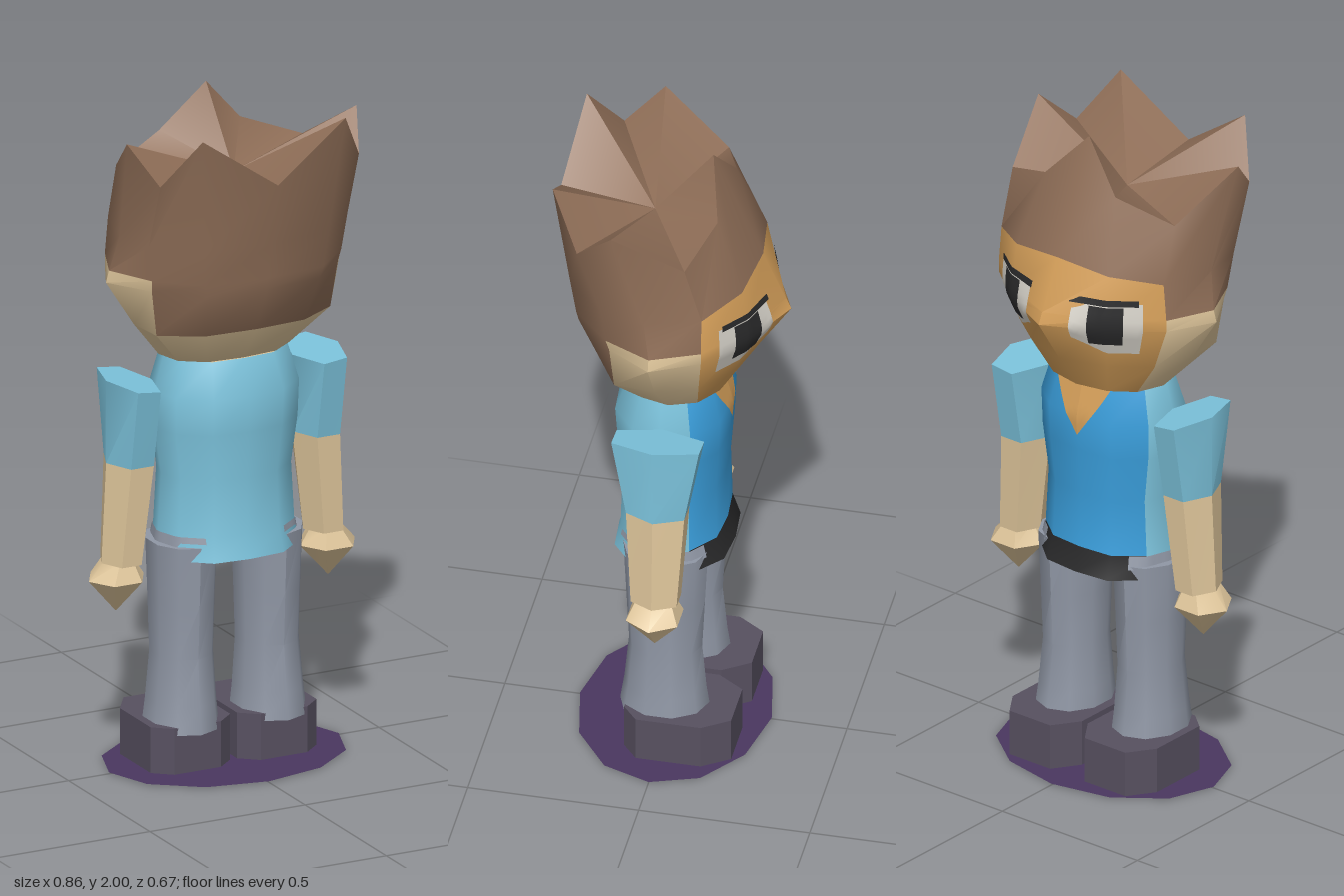
import * as THREE from 'three';
import { toCreasedNormals } from 'three/addons/utils/BufferGeometryUtils.js';

const V = (x, y, z) => new THREE.Vector3(x, y, z);

function makeMaterials() {
  const colors = {
    hair: 0x906f58, skin: 0xdfc69b, face: 0xd6a05a, shirtLight: 0x7cc3dc, shirtBlue: 0x3a9edb,
    trousers: 0x9097a5, shoe: 0x575060, base: 0x4a3760, black: 0x2a2a2b, white: 0xd9d5cc,
  };
  const mats = {};
  for (const [name, color] of Object.entries(colors)) {
    mats[name] = new THREE.MeshStandardMaterial({ color });
    mats[name].name = name;
  }
  mats.base.side = THREE.DoubleSide;
  return mats;
}

// Mesh from triangles sorted by colour, with smooth normals up to a crease angle
function meshFrom(name, byColor, mats, crease) {
  const g = new THREE.BufferGeometry(), pos = [], used = [];
  for (const [color, pts] of Object.entries(byColor)) {
    g.addGroup(pos.length / 3, pts.length, used.length);
    used.push(mats[color]);
    for (const p of pts) pos.push(p.x, p.y, p.z);
  }
  g.setAttribute('position', new THREE.Float32BufferAttribute(pos, 3));
  const mesh = new THREE.Mesh(toCreasedNormals(g, crease), used);
  mesh.name = name;
  return mesh;
}

// Skin closed rings, listed bottom to top; colorAt(row, column) names the colour
function loft(name, rings, mats, colorAt, { bottom, top, topCentre, crease = 0.75 } = {}) {
  const by = {}, n = rings[0].length;
  const add = (c, ...p) => (by[c] ??= []).push(...p);
  for (let i = 0; i < rings.length - 1; i++) {
    for (let j = 0; j < n; j++) {
      const k = (j + 1) % n;
      const a = rings[i][j], b = rings[i][k], c = rings[i + 1][k], d = rings[i + 1][j];
      add(colorAt(i, j), a, b, c, a, c, d);
    }
  }
  const mid = (r) => r.reduce((s, p) => s.add(p), V(0, 0, 0)).divideScalar(n);
  const lo = rings[0], hi = rings[rings.length - 1];
  for (let j = 0; j < n; j++) {
    const k = (j + 1) % n;
    if (bottom) add(bottom, mid(lo), lo[k], lo[j]);
    if (top) add(top, topCentre ?? mid(hi), hi[j], hi[k]);
  }
  return meshFrom(name, by, mats, crease);
}

// Seven points from +z round the +x side to -z, mirrored to a ring of twelve
const mirrorRing = (half) => [...half, ...half.slice(1, 6).reverse().map((p) => V(-p.x, p.y, p.z))];
const halfColumn = (j) => (j < 6 ? j : 11 - j);

// Ellipse-like ring
const oval = (n, cx, y, cz, rx, rz, turn = 0) => Array.from({ length: n }, (_, i) => {
  const t = (i / n) * Math.PI * 2 + turn;
  return V(cx + rx * Math.sin(t), y, cz + rz * Math.cos(t));
});

// Point on lofted rings at column u and height y, pushed out by off
function onRings(rings, u, y, off) {
  const n = rings[0].length, j = Math.floor(u);
  const line = rings.map((r) => r[j % n].clone().lerp(r[(j + 1) % n], u - j));
  let i = 0;
  while (i < line.length - 2 && y > line[i + 1].y) i++;
  const p = line[i].clone().lerp(line[i + 1], (y - line[i].y) / (line[i + 1].y - line[i].y));
  const r = Math.hypot(p.x, p.z);
  return V(p.x * (1 + off / r), p.y, p.z * (1 + off / r));
}

// Thin painted patch that follows a lofted surface, on one side or mirrored
function patch(name, rings, mats, color, u0, u1, lo, hi, off, mirrored) {
  const nu = 14, nv = 6, grid = [], tris = [];
  for (let i = 0; i <= nu; i++) {
    const u = u0 + ((u1 - u0) * i) / nu;
    grid.push(Array.from({ length: nv + 1 }, (_, j) => {
      const p = onRings(rings, u, lo(u) + ((hi(u) - lo(u)) * j) / nv, off);
      if (mirrored) p.x *= -1;
      return p;
    }));
  }
  if (mirrored) grid.reverse();
  for (let i = 0; i < nu; i++) {
    for (let j = 0; j < nv; j++) {
      const a = grid[i][j], b = grid[i + 1][j], c = grid[i + 1][j + 1], d = grid[i][j + 1];
      tris.push(a, b, c, a, c, d);
    }
  }
  return meshFrom(name, { [color]: tris }, mats, 0.75);
}

function makeHead(mats) {
  const head = new THREE.Group();
  head.name = 'head';
  // height, rise towards the face, then x,z pairs from the back to the face
  const levels = [
    [1.235, 0, [0, .12, .11, .11, .18, .06, .2, -.02, .17, -.1, .1, -.15, 0, -.17]],
    [1.345, 0, [0, .2, .16, .19, .28, .12, .29, 0, .25, -.12, .14, -.2, 0, -.245]],
    [1.485, 0, [0, .265, .18, .245, .3, .13, .38, 0, .31, -.14, .17, -.25, 0, -.337]],
    [1.52, 0, [0, .27, .19, .25, .305, .14, .37, 0, .31, -.14, .17, -.25, 0, -.322]],
    [1.63, .04, [0, .295, .2, .265, .32, .15, .345, .02, .3, -.14, .17, -.23, 0, -.255]],
  ];
  const rings = levels.map(([y, rise, q]) => mirrorRing(Array.from({ length: 7 }, (_, k) =>
    V(q[2 * k], y + (rise * Math.max(0, k - 4)) / 2, q[2 * k + 1]))));
  // Crown rim alternates spikes and notches
  rings.push(mirrorRing([V(0, 1.82, .335), V(.23, 1.98, .31), V(.32, 1.83, .22), V(.37, 1.935, .11),
    V(.3, 1.8, -.09), V(.13, 1.86, -.15), V(0, 2, -.11)]));
  const colorAt = (row, j) => {
    const k = halfColumn(j);
    if (row === 4) return 'hair';
    if (k >= 4) return 'face';
    return row === 0 || (k >= 2 && row < 3) ? 'skin' : 'hair';
  };
  head.add(loft('headAndHair', rings, mats, colorAt,
    { bottom: 'skin', top: 'hair', topCentre: V(0, 1.78, .06) }));
  // Eyes wrap around the bend of the face
  for (const m of [false, true]) {
    head.add(patch('eyeWhite', rings, mats, 'white', 4.38, 5.55,
      (u) => 1.4 + Math.max(0, u - 5) * .09, () => 1.57, .004, m));
    head.add(patch('pupil', rings, mats, 'black', 4.7, 5.27, () => 1.435, () => 1.56, .008, m));
    head.add(patch('eyelid', rings, mats, 'black', 4.45, 5.6, () => 1.563, () => 1.582, .008, m));
  }
  return head;
}

function makeTorso(mats) {
  const torso = new THREE.Group();
  torso.name = 'torso';
  const unit = [[0, 1], [.5, .94], [.88, .52], [1, 0], [.88, -.52], [.5, -.94], [0, -1]];
  // height, half width, depth behind, depth in front
  const rings = [[.64, .222, .165, .175], [.71, .212, .148, .152], [.88, .202, .143, .148],
    [1.02, .222, .155, .158], [1.13, .225, .163, .163], [1.235, .195, .125, .135]]
    .map(([y, w, b, f]) => mirrorRing(unit.map(([x, z]) => V(x * w, y, z * (z > 0 ? b : f)))));
  torso.add(loft('shirt', rings, mats, (row, j) => {
    if (halfColumn(j) < 4) return 'shirtLight';
    return row === 0 ? 'black' : 'shirtBlue';
  }, { bottom: 'shirtLight', top: 'skin' }));
  for (const m of [false, true]) {
    torso.add(patch('collarOpening', rings, mats, 'face', 5, 6,
      (u) => 1.235 - (u - 5) * .165, () => 1.235, .005, m));
    torso.add(patch('hipPatch', rings, mats, 'trousers', 1.2, 4.5,
      (u) => (u < 2 ? .692 : .67), () => .71, .004, m));
  }
  return torso;
}

function makeArm(mats, side) {
  const arm = new THREE.Group();
  arm.name = side > 0 ? 'leftArm' : 'rightArm';
  const hex = (y, cx, rx, rz) => oval(6, side * cx, y, -.012, rx, rz / .866, Math.PI / 2);
  const cuff = hex(.935, .3, .073, .085), shoulder = hex(1.18, .3, .073, .128);
  for (const p of shoulder) p.y += (Math.abs(p.x) - .3) * .12 - .005;
  arm.add(loft('forearm', [hex(.635, .325, .063, .067), cuff], mats, () => 'skin', { bottom: 'skin' }));
  arm.add(loft('sleeve', [cuff, shoulder], mats, () => 'shirtLight', { top: 'shirtLight' }));
  arm.add(loft('hand', [hex(.487, .342, .002, .002), hex(.585, .34, .088, .075), hex(.645, .333, .042, .05)],
    mats, () => 'skin', { top: 'skin' }));
  return arm;
}

function makeLeg(mats, side) {
  const leg = new THREE.Group();
  leg.name = side > 0 ? 'leftLeg' : 'rightLeg';
  const rings = [[.12, .141, .108, .132], [.2, .14, .1, .12], [.34, .138, .09, .107],
    [.5, .138, .094, .115], [.68, .138, .1, .124]]
    .map(([y, cx, rx, rz]) => oval(10, side * cx, y, 0, rx, rz));
  leg.add(loft('trouserLeg', rings, mats, () => 'trousers', { bottom: 'trousers', top: 'trousers' }));
  // Shoe outline with cut corners
  const outline = [[-.075, .105], [.075, .105], [.128, .06], [.128, -.13], [.075, -.208],
    [-.075, -.208], [-.128, -.13], [-.128, .06]];
  const shoe = [0, .142].map((y) => outline.map(([x, z]) => V(side * .139 + x, y, z)));
  leg.add(loft('shoe', shoe, mats, () => 'shoe', { bottom: 'shoe', top: 'shoe', crease: .5 }));
  return leg;
}

export function createModel() {
  const mats = makeMaterials();
  const model = new THREE.Group();
  model.name = 'figure';
  model.add(makeHead(mats), makeTorso(mats));
  for (const side of [1, -1]) model.add(makeArm(mats, side), makeLeg(mats, side));
  // Flat oval under the feet
  const base = new THREE.Mesh(new THREE.CircleGeometry(1, 12), mats.base);
  base.name = 'groundDisc';
  base.rotation.x = -Math.PI / 2;
  base.scale.set(.37, .28, 1);
  base.position.y = .004;
  model.add(base);
  return model;
}
